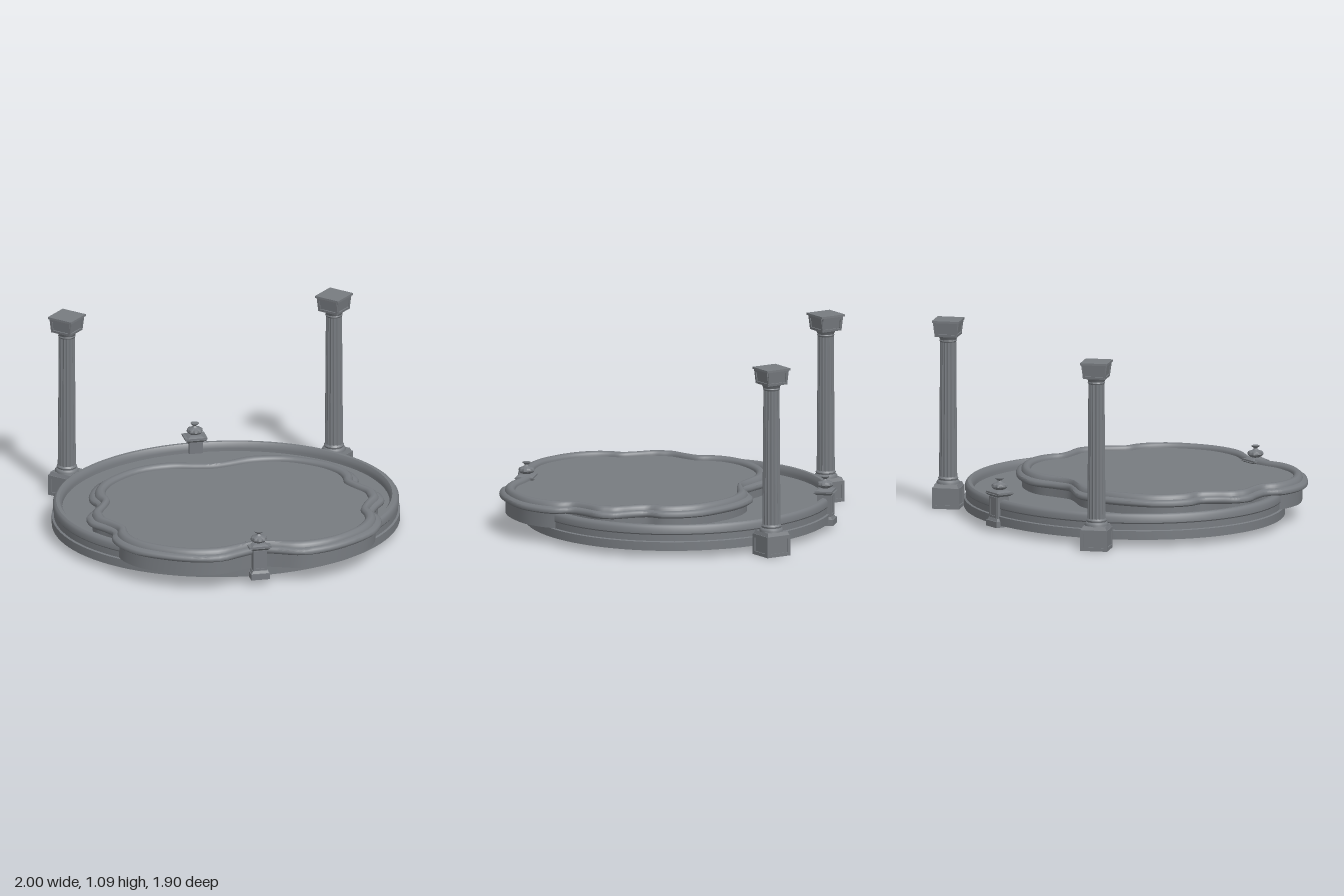
import * as THREE from 'three';
import { toCreasedNormals } from 'three/addons/utils/BufferGeometryUtils.js';

const mat = (name, color, side = THREE.FrontSide) => {
  const m = new THREE.MeshStandardMaterial({ color, side });
  m.name = name;
  return m;
};

export function createModel() {
  const stone = mat('stone', 0x777b80, THREE.DoubleSide);
  const water = mat('water surface', 0x777b80);
  const under = mat('floor underside', 0x767676);
  const teal = mat('dark teal underside', 0x0a444b);

  const root = new THREE.Group();
  root.name = 'fountain';

  const add = (parent, name, geo, material, x = 0, y = 0, z = 0) => {
    const mesh = new THREE.Mesh(geo, material);
    mesh.name = name;
    mesh.position.set(x, y, z);
    parent.add(mesh);
    return mesh;
  };
  const crease = (geo, angle = 0.6) => toCreasedNormals(geo, angle);
  const lathe = (pts, n) =>
    crease(new THREE.LatheGeometry(pts.map(p => new THREE.Vector2(...p)), n));
  const box = (w, h, d) => new THREE.BoxGeometry(w, h, d);
  // four-sided tapered block, half widths at bottom and top
  const taper = (bottom, top, h) => crease(
    new THREE.CylinderGeometry(top * Math.SQRT2, bottom * Math.SQRT2, h, 4).rotateY(Math.PI / 4));
  // thin raised frame around a panel
  const frame = (w, h, t) => {
    const rect = (T, a, b) => new T([[-a, -b], [a, -b], [a, b], [-a, b]]
      .map(p => new THREE.Vector2(...p)));
    const s = rect(THREE.Shape, w / 2, h / 2);
    s.holes.push(rect(THREE.Path, w / 2 - t, h / 2 - t));
    return new THREE.ExtrudeGeometry(s, { depth: 0.006, bevelEnabled: false });
  };
  const fourFrames = (parent, name, geo, y, dist, tilt = 0) => {
    for (let i = 0; i < 4; i++) {
      const side = new THREE.Group();
      side.name = name + 'Side';
      side.rotation.y = i * Math.PI / 2;
      add(side, name, geo, stone, 0, y, dist).rotation.x = tilt;
      parent.add(side);
    }
  };

  // --- Large oval basin wall
  const basin = add(root, 'basinWall', lathe([
    [0.945, 0.04], [1, 0.04], [1, 0.09], [0.988, 0.094], [0.988, 0.13], [0.993, 0.137],
    [0.993, 0.165], [0.985, 0.178], [0.975, 0.185], [0.955, 0.185], [0.945, 0.172],
    [0.94, 0.15], [0.945, 0.04]], 96), stone, 0, 0, -0.05);
  basin.scale.z = 0.88;

  // Basin floor: grey from above, grey and teal sectors from below
  const disc = (r, start, length, up) => new THREE.CircleGeometry(r, 72, start, length)
    .rotateX(up ? -Math.PI / 2 : Math.PI / 2);
  const a0 = 0.47;
  [['basinFloor', disc(0.945, 0, Math.PI * 2, true), water, 0.132],
   ['basinUnderside', disc(0.945, Math.PI - a0, Math.PI + 2 * a0, false), under, 0.13],
   ['basinUndersideFront', disc(0.945, a0, Math.PI - 2 * a0, false), teal, 0.13]]
    .forEach(([name, geo, m, y]) => { add(root, name, geo, m, 0, y, -0.05).scale.z = 0.88; });

  // --- Raised scalloped pool: quarter outlines mirrored into closed curves
  const outerQ = [[0, 0.645], [0.1, 0.68], [0.25, 0.735], [0.45, 0.69], [0.66, 0.56], [0.755, 0.43],
    [0.785, 0.31], [0.765, 0.22], [0.80, 0.14], [0.855, 0.06], [0.865, 0]];
  const innerQ = [[0, 0.595], [0.1, 0.61], [0.25, 0.64], [0.43, 0.61], [0.59, 0.5], [0.67, 0.39],
    [0.69, 0.3], [0.685, 0.22], [0.72, 0.14], [0.765, 0.06], [0.77, 0]];
  const STEPS = 4;
  const outline = q => {
    const back = q.slice(0, -1).reverse().map(([x, z]) => [x, -z]);
    const half = [...q, ...back];
    const all = [...half, ...half.slice(1, -1).reverse().map(([x, z]) => [-x, z])];
    const curve = new THREE.CatmullRomCurve3(
      all.map(([x, z]) => new THREE.Vector3(x, 0, z)), true, 'catmullrom', 0.5);
    return curve.getPoints(all.length * STEPS).slice(0, -1);
  };
  const outer = outline(outerQ), inner = outline(innerQ);
  const N = outer.length, poolZ = 0.205;

  // rim section: t runs from the outer outline (0) to the inner one (1)
  const section = [[1.1, 0.095], [0.4, 0.095], [0.4, 0.178], [0.15, 0.182], [0.02, 0.19], [0, 0.2],
    [0.06, 0.213], [0.25, 0.22], [0.36, 0.222], [0.42, 0.237], [0.58, 0.248], [0.8, 0.248],
    [0.95, 0.24], [1, 0.228], [1, 0.2]];
  const pos = [], index = [], K = section.length;
  for (let j = 0; j < N; j++)
    for (const [t, y] of section) {
      const p = outer[j].clone().lerp(inner[j], t);
      pos.push(p.x, y, p.z);
    }
  for (let j = 0; j < N; j++)
    for (let k = 0; k < K - 1; k++) {
      const a = j * K + k, b = ((j + 1) % N) * K + k;
      index.push(a, b, b + 1, a, b + 1, a + 1);
    }
  const rim = new THREE.BufferGeometry();
  rim.setAttribute('position', new THREE.Float32BufferAttribute(pos, 3));
  rim.setIndex(index);
  add(root, 'poolRim', crease(rim, 0.8), stone, 0, 0, poolZ);

  const poolShape = new THREE.Shape(inner.map(p => new THREE.Vector2(p.x, -p.z)));
  add(root, 'poolWater', new THREE.ShapeGeometry(poolShape).rotateX(-Math.PI / 2),
    water, 0, 0.222, poolZ);

  // --- Pedestals with lobed urns, at the front and the back
  const urnGeo = new THREE.LatheGeometry([[0, 0], [0.028, 0], [0.024, 0.008], [0.014, 0.014],
    [0.036, 0.024], [0.046, 0.036], [0.042, 0.05], [0.022, 0.058], [0.012, 0.064], [0.01, 0.07],
    [0.022, 0.08], [0.024, 0.085], [0, 0.085]].map(p => new THREE.Vector2(...p)), 48);
  const up = urnGeo.attributes.position;
  for (let i = 0; i < up.count; i++) {
    const x = up.getX(i), y = up.getY(i), z = up.getZ(i);
    if (y < 0.02 || y > 0.06) continue;
    const f = 0.9 + 0.14 * Math.abs(Math.cos(4 * Math.atan2(x, z)));
    up.setXYZ(i, x * f, y, z * f);
  }
  const urn = crease(urnGeo, 0.9);

  const pedestal = (name, y, z, turn) => {
    const g = new THREE.Group();
    g.name = name;
    g.position.set(0, y, z);
    g.rotation.y = turn;
    add(g, 'pedestalBase', box(0.11, 0.035, 0.085), stone, 0, 0.0175, 0.015);
    add(g, 'pedestalPlinth', taper(0.05, 0.043, 0.015), stone, 0, 0.0425, 0);
    add(g, 'pedestalShaft', box(0.08, 0.13, 0.08), stone, 0, 0.115, 0);
    add(g, 'pedestalPanel', frame(0.074, 0.12, 0.012), stone, 0, 0.112, 0.04);
    add(g, 'pedestalCornice', taper(0.043, 0.06, 0.015), stone, 0, 0.1825, 0);
    add(g, 'pedestalCap', box(0.13, 0.01, 0.1), stone, 0, 0.194, 0);
    add(g, 'pedestalRoof', taper(0.05, 0.03, 0.012), stone, 0, 0.204, 0);
    add(g, 'urn', urn, stone, 0, 0.193, 0);
    root.add(g);
  };
  pedestal('frontPedestal', 0.04, 0.84, 0);
  pedestal('backPedestal', 0.028, -0.9, Math.PI);

  // --- Columns behind the basin, turned by an eighth
  const shaftGeo = new THREE.CylinderGeometry(0.046, 0.052, 0.8, 64, 1, true);
  const sp = shaftGeo.attributes.position;
  for (let i = 0; i < sp.count; i++) {
    const x = sp.getX(i), z = sp.getZ(i);
    const f = 1 - 0.11 * Math.abs(Math.cos(8 * Math.atan2(x, z)));
    sp.setX(i, x * f);
    sp.setZ(i, z * f);
  }
  const shaft = crease(shaftGeo, 0.7);
  const footGeo = lathe([[0.068, 0], [0.068, 0.008], [0.062, 0.018], [0.055, 0.022],
    [0.058, 0.032], [0.05, 0.042]], 32);
  const neckGeo = lathe([[0.046, 0], [0.05, 0.008], [0.047, 0.014], [0.052, 0.025],
    [0.064, 0.04]], 32);

  for (const s of [-1, 1]) {
    const c = new THREE.Group();
    c.name = s > 0 ? 'leftColumn' : 'rightColumn';
    c.position.set(s * 0.78, 0, -0.745);
    c.rotation.y = Math.PI / 4;
    add(c, 'columnPlinth', box(0.145, 0.12, 0.145), stone, 0, 0.06, 0);
    fourFrames(c, 'plinthPanel', frame(0.155, 0.12, 0.02), 0.06, 0.0725);
    add(c, 'plinthTop', taper(0.074, 0.066, 0.02), stone, 0, 0.13, 0);
    add(c, 'columnFoot', footGeo, stone, 0, 0.138, 0);
    add(c, 'columnShaft', shaft, stone, 0, 0.575, 0);
    add(c, 'columnNeck', neckGeo, stone, 0, 0.96, 0);
    add(c, 'capital', taper(0.058, 0.07, 0.085), stone, 0, 1.0375, 0);
    fourFrames(c, 'capitalPanel', frame(0.132, 0.083, 0.014), 1.0375, 0.064, 0.14);
    add(c, 'capitalSlab', box(0.157, 0.012, 0.157), stone, 0, 1.084, 0);
    root.add(c);
  }
  return root;
}
